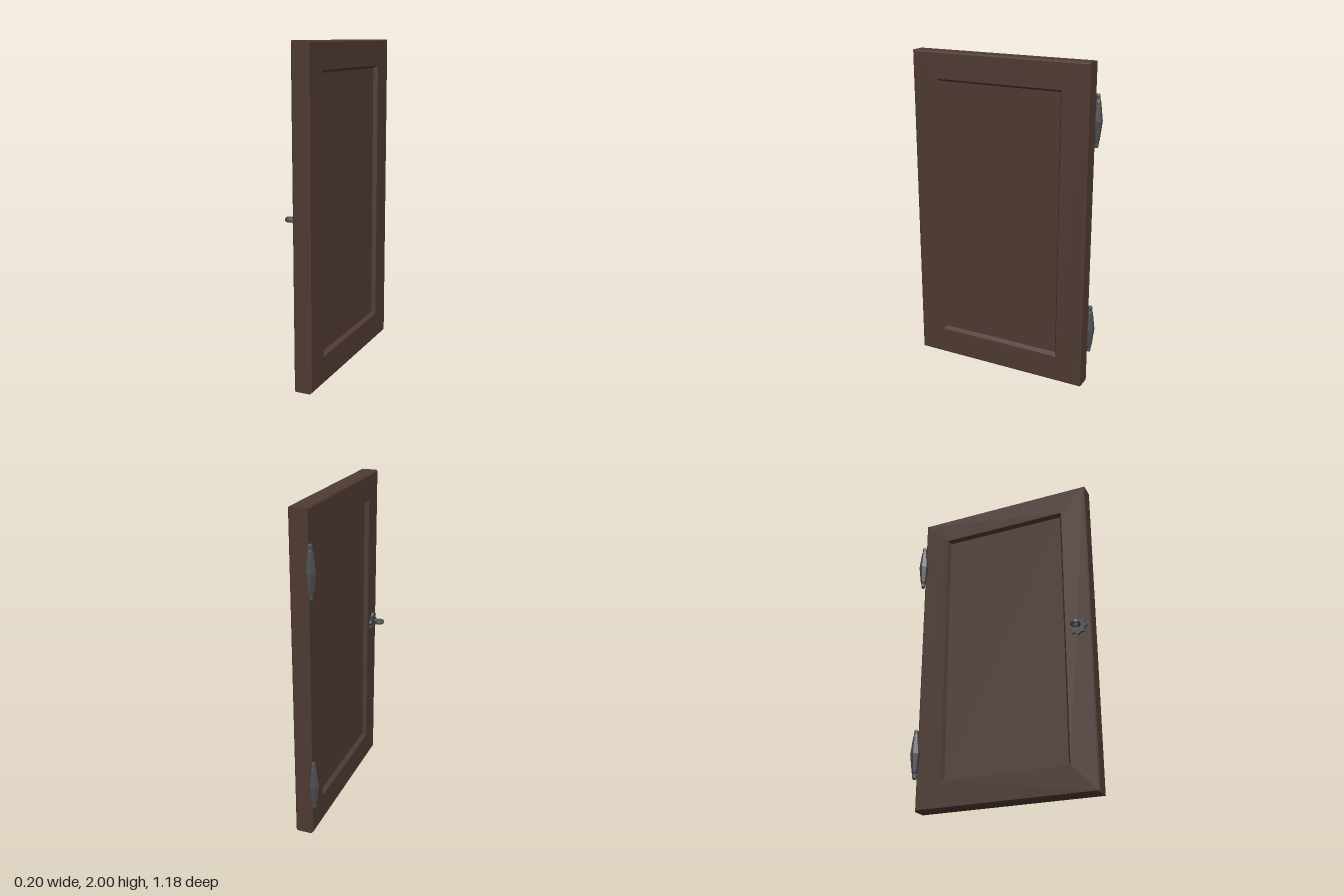
import * as THREE from 'three';

const wood = new THREE.MeshStandardMaterial({ color: 0x503b34, flatShading: true });
wood.name = 'dark brown wood';
const metal = new THREE.MeshStandardMaterial({ color: 0x4c4d4f, flatShading: true });
metal.name = 'dark iron';

function add(parent, geometry, material, name) {
  const mesh = new THREE.Mesh(geometry, material);
  mesh.name = name;
  parent.add(mesh);
  return mesh;
}

// Skins a run of rectangles [x, y0, y1, z0, z1] from +x to -x and caps both ends.
function rectLoft(rings) {
  const pos = [], index = [];
  for (const [x, y0, y1, z0, z1] of rings) {
    pos.push(x, y0, z0, x, y1, z0, x, y1, z1, x, y0, z1);
  }
  const last = (rings.length - 1) * 4;
  for (let r = 0; r < last; r += 4) {
    for (let i = 0; i < 4; i++) {
      const j = (i + 1) % 4;
      index.push(r + i, r + 4 + i, r + 4 + j, r + i, r + 4 + j, r + j);
    }
  }
  index.push(0, 1, 2, 0, 2, 3, last, last + 2, last + 1, last, last + 3, last + 2);
  const indexed = new THREE.BufferGeometry();
  indexed.setAttribute('position', new THREE.Float32BufferAttribute(pos, 3));
  indexed.setIndex(index);
  const geometry = indexed.toNonIndexed();
  geometry.computeVertexNormals();
  return geometry;
}

export function createModel() {
  const model = new THREE.Group();
  model.name = 'cabinetDoor';

  // Door slab: recessed panel on both faces, bevelled outer edges
  const xBack = -0.013, xFront = 0.097, depth = 0.025, b = 0.008;
  const panel = [0.187, 1.823, -0.38, 0.408];
  const opening = [0.17, 1.838, -0.395, 0.425];
  const face = [b, 2 - b, -0.562 + b, 0.587 - b];
  const outer = [0, 2, -0.562, 0.587];
  add(model, rectLoft([
    [xFront - depth, ...panel],
    [xFront, ...opening],
    [xFront, ...face],
    [xFront - b, ...outer],
    [xBack + b, ...outer],
    [xBack, ...face],
    [xBack, ...opening],
    [xBack + depth, ...panel],
  ]), wood, 'doorPanel');

  // Hexagonal tapered hinges with small end knobs
  const profile = [
    [0, -0.156], [0.009, -0.156], [0.013, -0.148], [0.013, -0.125], [0.018, -0.11],
    [0.031, 0],
    [0.018, 0.11], [0.013, 0.125], [0.013, 0.148], [0.009, 0.156], [0, 0.156],
  ].map(([r, y]) => new THREE.Vector2(r, y));
  const hingeGeometry = new THREE.LatheGeometry(profile, 6, Math.PI / 2);
  [['lowerHinge', 0.348], ['upperHinge', 1.658]].forEach(([name, y]) => {
    add(model, hingeGeometry, metal, name).position.set(-0.028, y, -0.565);
  });

  // Pull: scalloped back plate and an open hook
  const pull = new THREE.Group();
  pull.name = 'doorPull';
  pull.position.set(0, 1.004, 0.507);
  model.add(pull);

  const points = [];
  for (let i = 0; i < 16; i++) {
    const a = (i / 16) * Math.PI * 2, r = i % 2 ? 0.043 : 0.058;
    points.push(new THREE.Vector2(Math.cos(a) * r, Math.sin(a) * r));
  }
  const plate = new THREE.ExtrudeGeometry(new THREE.Shape(points), { depth: 0.017, bevelEnabled: false });
  plate.rotateY(-Math.PI / 2);
  add(pull, plate, metal, 'backPlate').position.x = -0.011;

  const path = new THREE.CatmullRomCurve3([
    [-0.02, 0.006], [-0.035, 0.010], [-0.052, 0.021], [-0.07, 0.025], [-0.086, 0.017],
    [-0.092, 0], [-0.086, -0.016], [-0.07, -0.025], [-0.053, -0.021], [-0.038, -0.008],
  ].map(([x, z]) => new THREE.Vector3(x, 0, z)));
  const hook = add(pull, new THREE.TubeGeometry(path, 24, 0.007, 8), metal, 'hook');
  hook.scale.y = 1.75;

  // Closed ends of the hook
  for (const t of [0, 1]) {
    const p = path.getPoint(t);
    const end = add(pull, new THREE.SphereGeometry(0.007, 8, 6), metal, 'hookEnd');
    end.position.copy(p);
    end.scale.y = 1.75;
  }

  return model;
}
